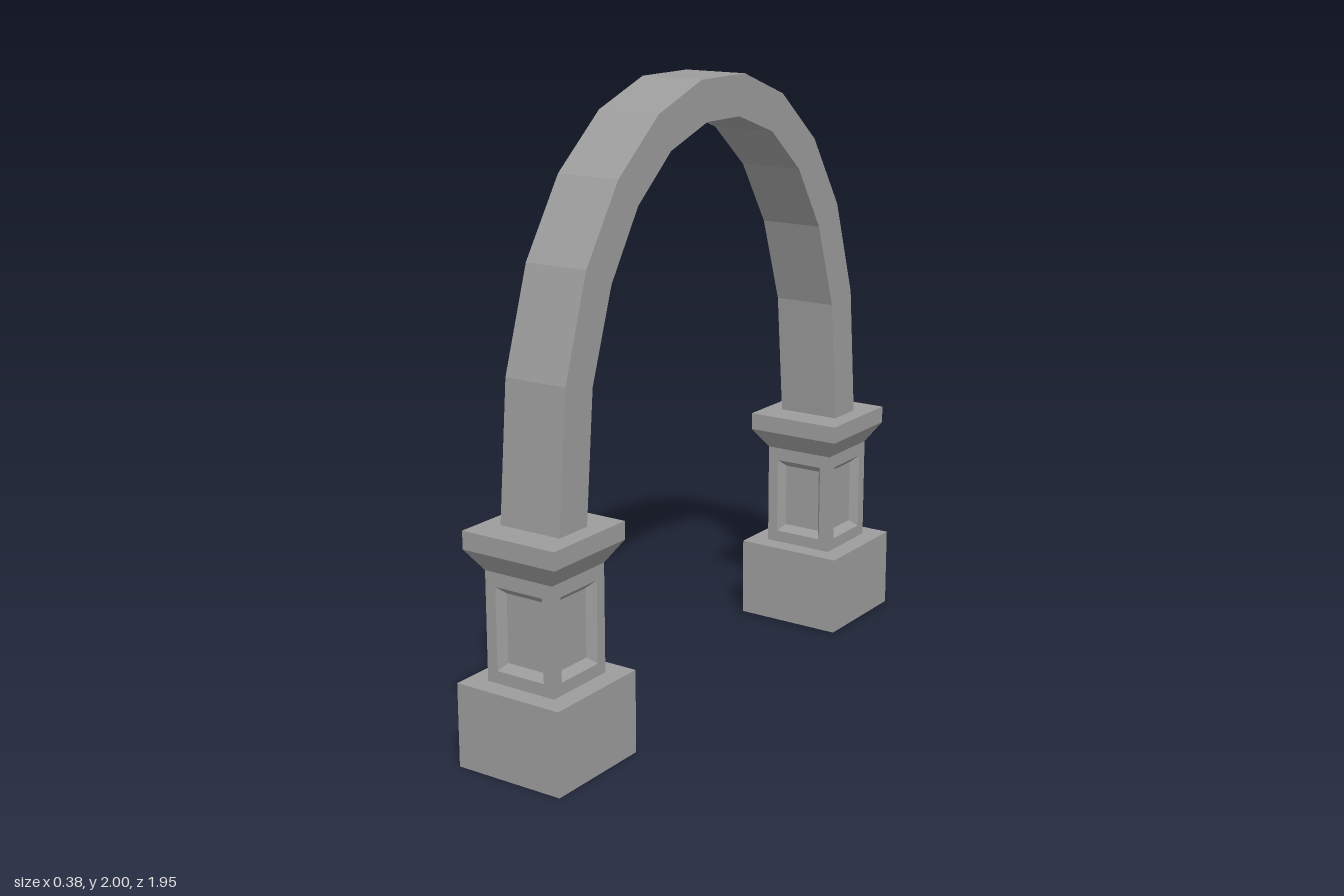
import * as THREE from 'three';

const stone = new THREE.MeshStandardMaterial({ color: 0x9c9c9c, flatShading: true });

function addMesh(parent, name, geometry) {
  const flat = geometry.index ? geometry.toNonIndexed() : geometry;
  flat.computeVertexNormals();
  const mesh = new THREE.Mesh(flat, stone);
  mesh.name = name;
  parent.add(mesh);
  return mesh;
}

// One shaft face: nested rectangles [halfWidth, bottom, top, depth] joined into a recessed panel
function panelFace() {
  const rings = [
    [0.125, 0.27, 0.62, 0.125],
    [0.0875, 0.31, 0.575, 0.125],
    [0.067, 0.331, 0.551, 0.098],
  ];
  const positions = [];
  const index = [];
  for (const [w, bottom, top, z] of rings) {
    positions.push(-w, bottom, z, w, bottom, z, w, top, z, -w, top, z);
  }
  for (let r = 0; r < rings.length - 1; r++) {
    for (let i = 0; i < 4; i++) {
      const a = r * 4 + i;
      const b = r * 4 + (i + 1) % 4;
      index.push(a, b, b + 4, a, b + 4, a + 4);
    }
  }
  index.push(8, 9, 10, 8, 10, 11);
  const geometry = new THREE.BufferGeometry();
  geometry.setAttribute('position', new THREE.Float32BufferAttribute(positions, 3));
  geometry.setIndex(index);
  return geometry;
}

function createPillar(name) {
  const pillar = new THREE.Group();
  pillar.name = name;

  // Square plinth
  addMesh(pillar, 'plinth', new THREE.BoxGeometry(0.38, 0.27, 0.38).translate(0, 0.135, 0));

  // Shaft with a recessed panel on each side
  const shaft = new THREE.Group();
  shaft.name = 'shaft';
  for (let i = 0; i < 4; i++) {
    addMesh(shaft, 'shaftPanel', panelFace()).rotation.y = i * Math.PI / 2;
  }
  pillar.add(shaft);

  // Flared square capital
  const profile = [[0.125, 0.62], [0.17, 0.688], [0.17, 0.746], [0, 0.746]]
    .map(([half, y]) => new THREE.Vector2(half * Math.SQRT2, y));
  addMesh(pillar, 'capital', new THREE.LatheGeometry(profile, 4, Math.PI / 4));
  return pillar;
}

// Faceted arch band, its half outline mirrored across the middle
function archGeometry() {
  const outer = [[0.852, 0.746], [0.813, 1.187], [0.708, 1.51], [0.55, 1.75], [0.346, 1.918], [0.12, 2]];
  const inner = [[0.721, 0.746], [0.685, 1.16], [0.588, 1.448], [0.453, 1.66], [0.284, 1.802], [0.09, 1.869]];
  const mirror = (points) => points.map(([z, y]) => [-z, y]).reverse();
  const outline = [
    ...outer, ...mirror(outer),
    ...[...inner, ...mirror(inner)].reverse(),
  ].map(([z, y]) => new THREE.Vector2(z, y));
  return new THREE.ExtrudeGeometry(new THREE.Shape(outline), { depth: 0.22, bevelEnabled: false })
    .translate(0, 0, -0.11)
    .rotateY(-Math.PI / 2);
}

export function createModel() {
  const model = new THREE.Group();
  model.name = 'archway';

  for (const [name, side] of [['frontPillar', 1], ['backPillar', -1]]) {
    const pillar = createPillar(name);
    pillar.position.z = side * 0.785;
    model.add(pillar);
  }
  addMesh(model, 'arch', archGeometry());
  return model;
}
